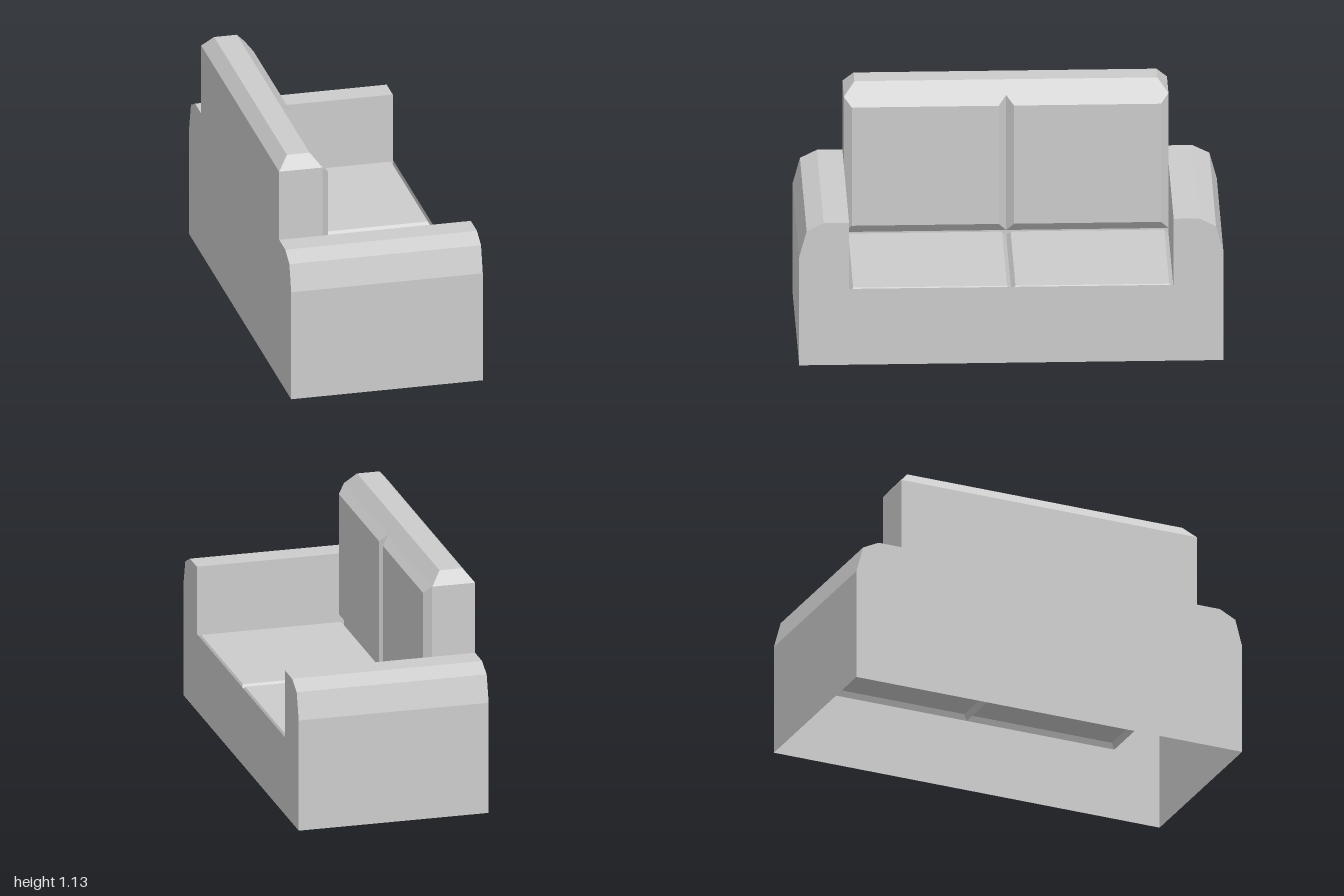
import * as THREE from 'three';

const X = 0.465;       // half depth
const BACK = -0.255;   // front plane of the backrest
const ARM = 0.765;     // inner face of the arms
const SEAT = 0.385;    // seat height
const GROOVE = 0.36;   // bottom of the grooves around the seat pads
const ARM_TOP = 0.72;
const ARM_PROFILE = [[1, 0], [1, 0.55], [0.965, 0.68], [0.885, ARM_TOP], [ARM, ARM_TOP]]; // z, y

const material = new THREE.MeshStandardMaterial({
  color: 0xcccccc, flatShading: true, side: THREE.DoubleSide,
});

function add(parent, name, geometry) {
  const mesh = new THREE.Mesh(geometry, material);
  mesh.name = name;
  parent.add(mesh);
  return mesh;
}

// Skin between two loops (or open lines) of points, optionally capping the second
function loft(a, b, closed = true) {
  const p = [];
  const tri = (...pts) => pts.forEach((q) => p.push(...q));
  const n = a.length;
  for (let i = 0; i < (closed ? n : n - 1); i++) {
    const j = (i + 1) % n;
    tri(a[i], a[j], b[j]);
    tri(a[i], b[j], b[i]);
  }
  if (closed) for (let i = 1; i < n - 1; i++) tri(b[0], b[i], b[i + 1]);
  const g = new THREE.BufferGeometry();
  g.setAttribute('position', new THREE.Float32BufferAttribute(p, 3));
  g.computeVertexNormals();
  return g;
}

// Rectangle loops facing up (+y) and forward (+x)
const flatRing = (y, x0, x1, z0, z1) => [[x0, y, z0], [x0, y, z1], [x1, y, z1], [x1, y, z0]];
const uprightRing = (x, y0, y1, z0, z1) => [[x, y0, z0], [x, y1, z0], [x, y1, z1], [x, y0, z1]];

// Vertical panel outline, mirrored about the middle
function endPanel(half) {
  const pts = [...half, ...half.map(([z, y]) => [-z, y]).reverse()];
  return new THREE.ShapeGeometry(new THREE.Shape(pts.map(([z, y]) => new THREE.Vector2(z, y))));
}

// Rectangle in the xy plane, facing +z or -z
function sidePanel(x0, x1, y0, y1, z, facing) {
  const g = new THREE.PlaneGeometry(x1 - x0, y1 - y0);
  if (facing < 0) g.rotateY(Math.PI);
  return g.translate((x0 + x1) / 2, (y0 + y1) / 2, z);
}

export function createModel() {
  const sofa = new THREE.Group();
  sofa.name = 'sofa';

  // Front and back of the hollow body
  add(sofa, 'frontPanel', endPanel([...ARM_PROFILE, [ARM, SEAT]]).rotateY(Math.PI / 2).translate(X, 0, 0));
  add(sofa, 'backPanel', endPanel([...ARM_PROFILE, [ARM, 1.07]]).rotateY(-Math.PI / 2).translate(-X, 0, 0));

  for (const s of [1, -1]) {
    const side = s > 0 ? 'right' : 'left';

    // Arm: outer skin with its faceted top, and inner wall
    const line = (x) => ARM_PROFILE.map(([z, y]) => [x * s, y, z * s]);
    add(sofa, side + 'Arm', loft(line(X), line(-X), false));
    add(sofa, side + 'ArmInnerWall', sidePanel(BACK, X, GROOVE, ARM_TOP, ARM * s, -s));

    // End of the backrest above the arm
    add(sofa, side + 'BackrestEnd', sidePanel(-X, BACK, ARM_TOP, 1.07, ARM * s, s));

    // Bevelled seat pad and back pad
    const [z0, z1] = s > 0 ? [0, ARM] : [-ARM, 0];
    add(sofa, side + 'SeatPad', loft(
      flatRing(GROOVE, BACK, X, z0, z1),
      flatRing(SEAT, BACK + 0.02, X - 0.015, z0 + 0.02, z1 - 0.02)));
    add(sofa, side + 'BackPad', loft(
      uprightRing(BACK, SEAT, 1.07, z0, z1),
      uprightRing(-0.22, 0.43, 1.03, z0 + 0.036, z1 - 0.036)));
  }

  // Chamfered crown of the backrest
  add(sofa, 'backrestCrown', loft(
    flatRing(1.07, -X, BACK, -ARM, ARM),
    flatRing(1.13, -0.415, -0.305, -0.714, 0.714)));

  // Narrow strip closing the groove behind the seat
  add(sofa, 'seatBackStrip', new THREE.PlaneGeometry(ARM * 2, SEAT - GROOVE)
    .rotateY(Math.PI / 2).translate(BACK, (SEAT + GROOVE) / 2, 0));

  return sofa;
}
